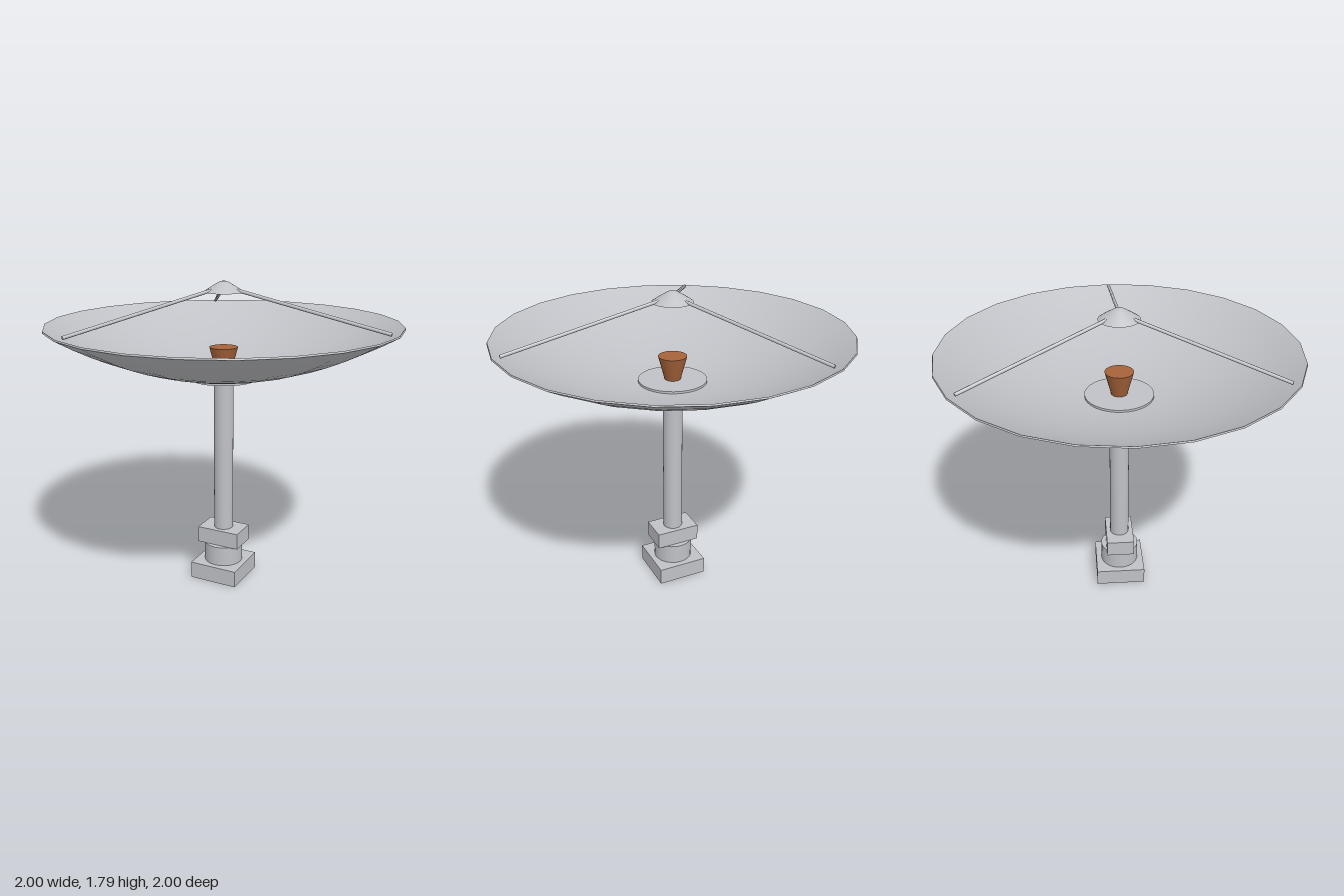
import * as THREE from 'three';

export function createModel() {
  const model = new THREE.Group();
  const grey = new THREE.MeshStandardMaterial({ color: 0xc0c1c6 });
  grey.name = 'light grey metal';
  const copper = new THREE.MeshStandardMaterial({ color: 0xa5623a });
  copper.name = 'copper';

  function add(name, geometry, y = 0, material = grey, parent = model) {
    const mesh = new THREE.Mesh(geometry, material);
    mesh.name = name;
    mesh.position.y = y;
    parent.add(mesh);
    return mesh;
  }
  const lathe = (points, sides = 24) =>
    new THREE.LatheGeometry(points.map(([r, y]) => new THREE.Vector2(r, y)), sides);

  // Pedestal
  add('baseBlock', new THREE.BoxGeometry(0.296, 0.1, 0.296), 0.05);
  add('turntable', new THREE.CylinderGeometry(0.115, 0.115, 0.118, 24), 0.159);
  add('upperBlock', new THREE.BoxGeometry(0.262, 0.097, 0.166), 0.266);
  add('mast', new THREE.CylinderGeometry(0.057, 0.057, 0.93, 24), 0.777);
  add('dishMount', new THREE.CylinderGeometry(0.196, 0.196, 0.047, 32), 1.2635);

  // Parabolic dish: outer shell, inner shell and thin lip
  const dish = new THREE.Group();
  dish.name = 'dish';
  model.add(dish);
  const outer = [], inner = [];
  const steps = 10;
  for (let i = 0; i <= steps; i++) {
    const r = i / steps;
    const y = 1.254 + 0.298 * r * r;
    outer.push([r, y]);
    inner.unshift([r * 0.997, y + 0.009]);
  }
  add('dishBack', lathe(outer), 0, grey, dish);
  add('dishFace', lathe(inner), 0, grey, dish);
  add('dishLip', lathe([outer[steps], inner[0]]), 0, grey, dish);

  // Feed horn at the middle of the dish
  add('feedHorn', new THREE.CylinderGeometry(0.082, 0.046, 0.135, 20), 1.3545, copper);

  // Secondary reflector, flat underneath
  add('reflectorTop', lathe([[0.115, 1.73], [0.075, 1.757], [0.03, 1.784], [0.015, 1.79], [0, 1.791]], 32));
  add('reflectorUnderside', lathe([[0, 1.73], [0.115, 1.73]], 32));

  // Three struts from the rim to the secondary reflector
  const start = new THREE.Vector3(0.05, 1.75, 0);
  const end = new THREE.Vector3(0.955, 1.565, 0);
  const direction = end.clone().sub(start);
  for (let i = 0; i < 3; i++) {
    const arm = new THREE.Group();
    arm.name = 'strutArm';
    arm.rotation.y = (i * Math.PI * 2) / 3;
    model.add(arm);
    const strut = add('strut', new THREE.CylinderGeometry(0.01, 0.01, direction.length(), 8), 0, grey, arm);
    strut.position.copy(start).lerp(end, 0.5);
    strut.quaternion.setFromUnitVectors(new THREE.Vector3(0, 1, 0), direction.clone().normalize());
  }
  return model;
}
